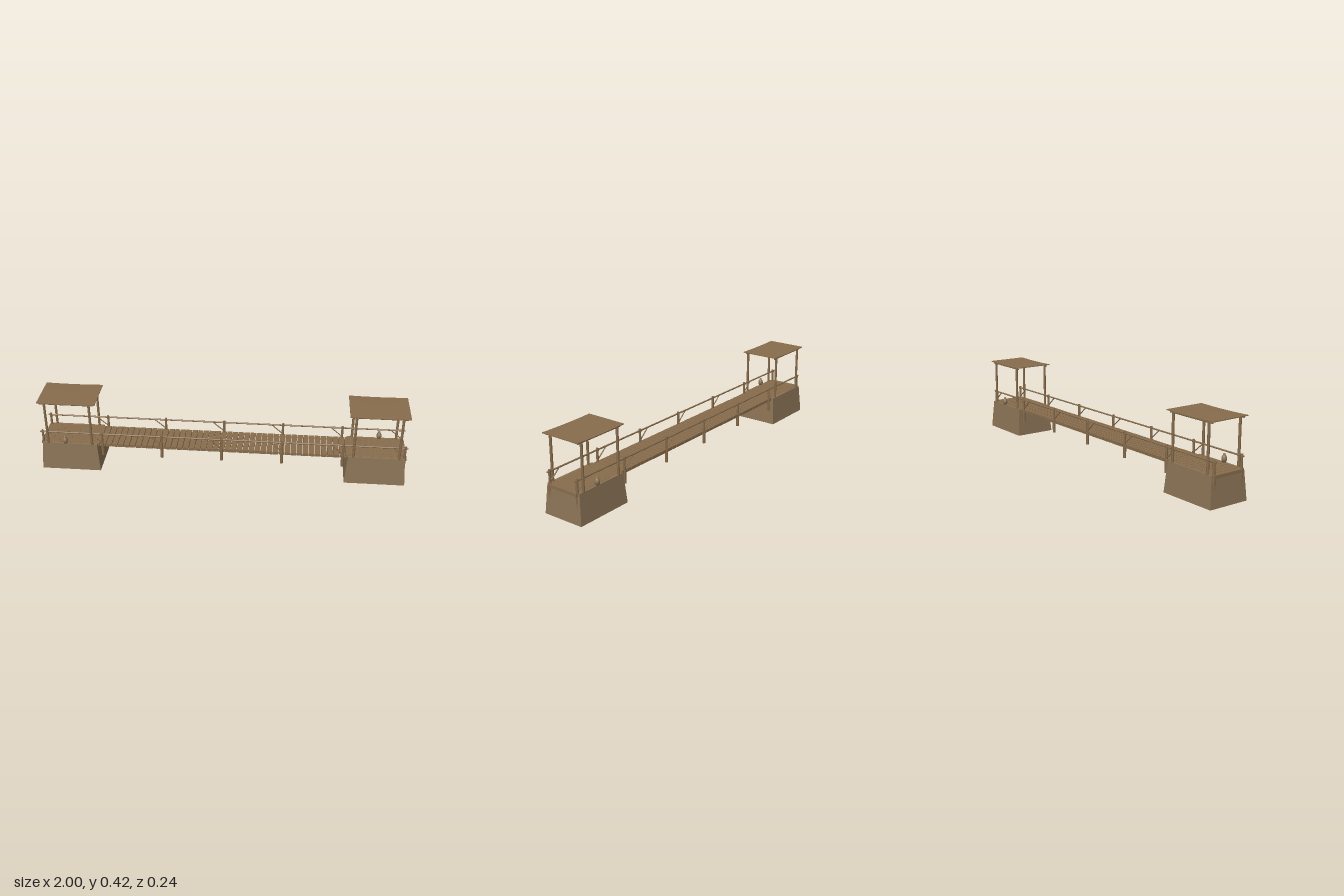
import * as THREE from 'three';

const earth = new THREE.MeshStandardMaterial({ color: 0x8b7355 });
earth.name = 'earth brown';
const wood = new THREE.MeshStandardMaterial({ color: 0x876c4c });
wood.name = 'wood brown';

export function createModel() {
  const model = new THREE.Group();
  model.name = 'coveredFootbridge';

  const add = (name, geometry, material, x, y, z) => {
    const mesh = new THREE.Mesh(geometry, material);
    mesh.name = name;
    mesh.position.set(x, y, z);
    model.add(mesh);
    return mesh;
  };

  // Round pole between two points
  const pole = (name, from, to, r0, r1 = r0) => {
    const a = new THREE.Vector3(...from);
    const b = new THREE.Vector3(...to);
    const dir = b.clone().sub(a);
    const mid = a.clone().add(b).multiplyScalar(0.5);
    const mesh = add(name, new THREE.CylinderGeometry(r1, r0, dir.length(), 8), wood, mid.x, mid.y, mid.z);
    mesh.quaternion.setFromUnitVectors(new THREE.Vector3(0, 1, 0), dir.normalize());
  };

  // Tapered abutment block
  const abutment = () => {
    let g = new THREE.BoxGeometry(0.327, 0.16, 0.236);
    const p = g.attributes.position;
    for (let i = 0; i < p.count; i++) {
      if (p.getY(i) > 0) {
        p.setX(i, p.getX(i) * 0.925);
        p.setZ(i, p.getZ(i) * 0.89);
      }
    }
    g = g.toNonIndexed();
    g.computeVertexNormals();
    return g;
  };

  // Thin roof sheet, slightly crowned, with lifted corners
  const roof = () => {
    const g = new THREE.BoxGeometry(0.316, 0.004, 0.226, 8, 1, 8);
    const p = g.attributes.position;
    for (let i = 0; i < p.count; i++) {
      const u = p.getX(i) / 0.158;
      const v = p.getZ(i) / 0.113;
      p.setY(i, p.getY(i) + 0.003 * (1 - v * v) + 0.003 * u * u * v * v);
    }
    g.computeVertexNormals();
    return g;
  };

  // Jar profile
  const jarProfile = [
    [0, 0], [0.009, 0], [0.014, 0.012], [0.014, 0.022], [0.01, 0.032],
    [0.006, 0.036], [0.007, 0.04], [0.004, 0.045], [0, 0.045],
  ].map(([r, y]) => new THREE.Vector2(r, y));

  for (const s of [-1, 1]) {
    add('abutment', abutment(), earth, s * 0.835, 0.08, 0);
    add('roof', roof(), wood, s * 0.835, 0.411, 0);
    for (const z of [-0.1, 0.1]) {
      for (const x of [0.712, 0.955]) pole('roofPost', [s * x, 0.155, z], [s * x, 0.41, z], 0.007);
      pole('roofBeam', [s * 0.69, 0.405, z], [s * 0.98, 0.405, z], 0.004);
    }
    add('jar', new THREE.LatheGeometry(jarProfile, 12), earth, s * 0.86, 0.16, -s * 0.099);
  }

  // Deck planks
  const pitch = 0.0327;
  for (let i = -30; i <= 30; i++) {
    add('deckPlank', new THREE.BoxGeometry(0.0295, 0.016, 0.184), wood, i * pitch, 0.153, 0);
  }

  // Railings with posts, lashings and braces
  for (const z of [-0.089, 0.089]) {
    pole('handrail', [-0.998, 0.222, z], [0.998, 0.222, z], 0.0045);
    pole('deckStringer', [-0.99, 0.148, z * 0.95], [0.99, 0.148, z * 0.95], 0.004);
    for (let i = -3; i <= 3; i++) {
      const x = i * 0.328;
      pole('railPost', [x, 0.15, z], [x, 0.232, z], 0.007, 0.006);
      pole('railPostFoot', [x, 0.09, z], [x, 0.16, z], 0.008, 0.009);
      add('lashing', new THREE.CylinderGeometry(0.008, 0.008, 0.01, 8), wood, x, 0.221, z);
      if (i > -3) pole('brace', [x, 0.166, z], [x - 0.062, 0.22, z], 0.003);
    }
  }
  return model;
}
